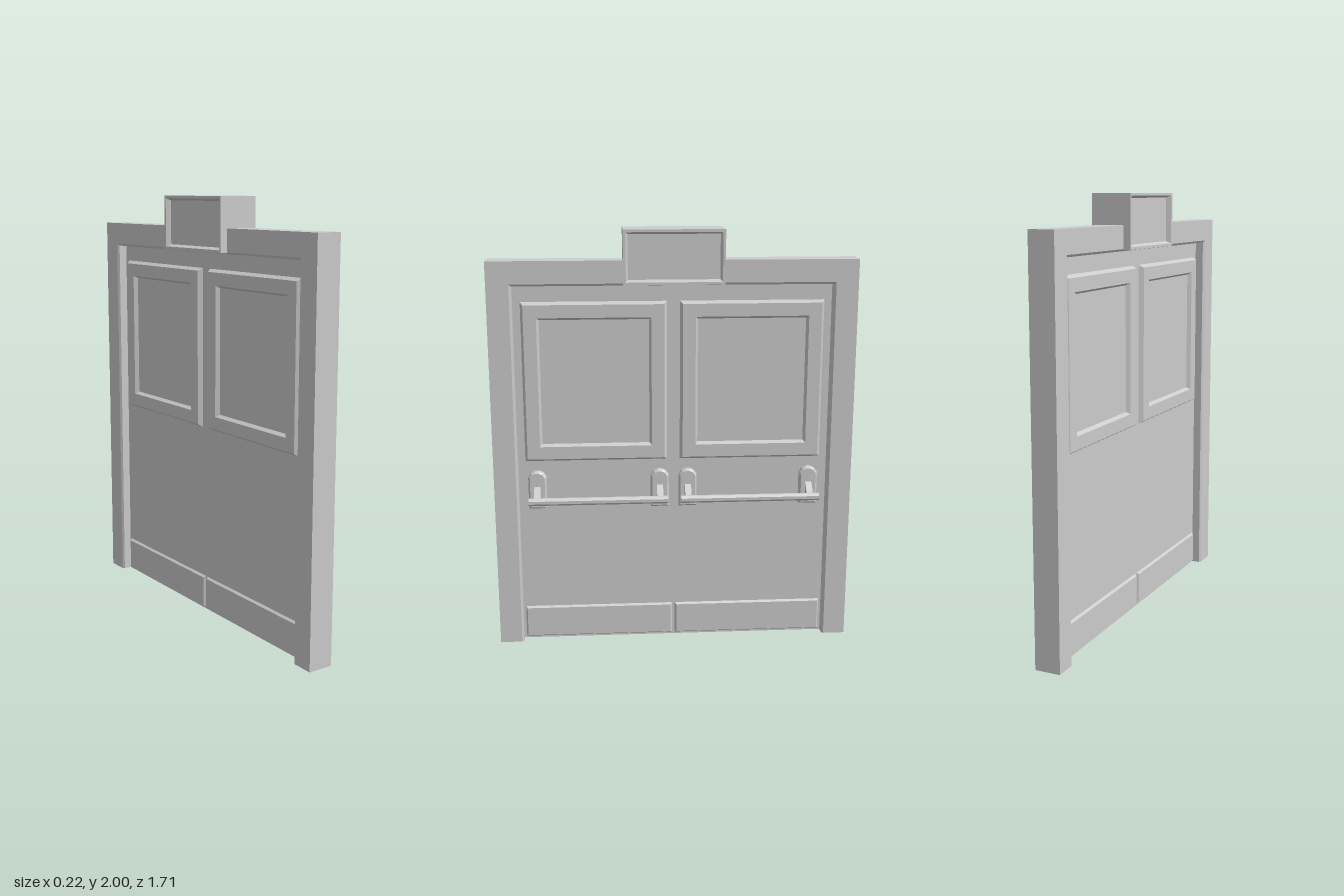
import * as THREE from 'three';

const material = new THREE.MeshStandardMaterial({ color: 0xcccccc, flatShading: true, side: THREE.DoubleSide });
const CENTRE_X = -0.017; // middle of the wall thickness

function mesh(name, geometry) {
  const m = new THREE.Mesh(geometry, material);
  m.name = name;
  return m;
}

// Lofts nested rectangles facing +x. Each ring is [inset, x].
// An open loft keeps its foot on y0 and has no lower side or cap.
function loftRects({ z0, z1, y0, y1 }, rings, open = false) {
  const corners = rings.map(([i, x]) => {
    const low = open ? y0 : y0 + i;
    return [[x, low, z1 - i], [x, low, z0 + i], [x, y1 - i, z0 + i], [x, y1 - i, z1 - i]];
  });
  const pos = [];
  const quad = (a, b, c, d) => pos.push(...a, ...b, ...c, ...a, ...c, ...d);
  for (let r = 0; r + 1 < corners.length; r++) {
    const a = corners[r], b = corners[r + 1];
    for (let k = open ? 1 : 0; k < 4; k++) {
      const n = (k + 1) % 4;
      quad(a[k], a[n], b[n], b[k]);
    }
  }
  if (!open) quad(...corners[corners.length - 1]);
  const g = new THREE.BufferGeometry();
  g.setAttribute('position', new THREE.Float32BufferAttribute(pos, 3));
  g.computeVertexNormals();
  return g;
}

// Everything that appears on both faces of the doorway
function createFace() {
  const face = new THREE.Group();
  face.add(mesh('doorFrame', loftRects({ z0: -0.853, z1: 0.853, y0: 0, y1: 1.86 },
    [[0, 0], [0, 0.06], [0.104, 0.06], [0.114, 0.052], [0.114, 0]], true)));

  // Window surrounds and kick plates, one for each leaf
  for (const s of [-1, 1]) {
    const span = (a, b) => ({ z0: Math.min(s * a, s * b), z1: Math.max(s * a, s * b) });
    face.add(mesh('windowSurround', loftRects({ ...span(0.03, 0.705), y0: 0.912, y1: 1.67 },
      [[0, 0.012], [0.013, 0.034], [0.073, 0.034], [0.084, 0.015]])));
    face.add(mesh('kickPlate', loftRects({ ...span(0.006, 0.728), y0: 0.008, y1: 0.168 },
      [[0, 0.012], [0.008, 0.024]])));
  }

  // Overhead sign box with a recessed panel
  face.add(mesh('signBox', loftRects({ z0: -0.232, z1: 0.232, y0: 1.752, y1: 2 },
    [[0, 0], [0, 0.095], [0.012, 0.095], [0.022, 0.072]])));
  return face;
}

// Bracket plate with chamfered edges and an arched top, plus its sloping arm
function createBracket() {
  const bracket = new THREE.Group();
  bracket.name = 'barBracket';
  const outline = [[-0.043, 0.683], [0.043, 0.683], [0.043, 0.838], [0.028, 0.858],
    [0.01, 0.866], [-0.01, 0.866], [-0.028, 0.858], [-0.043, 0.838]];
  const plate = new THREE.ExtrudeGeometry(
    new THREE.Shape(outline.map(p => new THREE.Vector2(...p))),
    { depth: 0.022, bevelThickness: 0.01, bevelSize: 0.008, bevelOffset: -0.008, bevelSegments: 1 });
  plate.rotateY(Math.PI / 2).translate(0.016, 0, 0);
  bracket.add(mesh('bracketPlate', plate));

  const side = [[0.04, 0.742], [0.1, 0.728], [0.1, 0.75], [0.04, 0.8]];
  const arm = new THREE.ExtrudeGeometry(
    new THREE.Shape(side.map(p => new THREE.Vector2(...p))), { depth: 0.03, bevelEnabled: false });
  arm.translate(0, 0, -0.015);
  bracket.add(mesh('bracketArm', arm));
  return bracket;
}

export function createModel() {
  const model = new THREE.Group();
  model.name = 'doubleDoor';
  const body = new THREE.Group();
  body.name = 'doorway';
  body.position.x = CENTRE_X;
  model.add(body);

  // Door slab
  const slab = mesh('doorSlab', new THREE.BoxGeometry(0.025, 1.75, 1.48));
  slab.position.y = 0.875;
  body.add(slab);

  // Two matching faces
  const right = createFace(), back = createFace();
  right.name = 'leftFace';
  back.name = 'rightFace';
  back.rotation.y = Math.PI;
  body.add(right, back);

  for (const s of [-1, 1]) {
    // Underside of the jamb
    const foot = mesh('jambFoot', new THREE.PlaneGeometry(0.12, 0.112).rotateX(Math.PI / 2));
    foot.position.z = s * 0.797;
    body.add(foot);

    // Push bar on the handle side
    const bar = new THREE.CylinderGeometry(0.018, 0.018, 0.66, 8);
    bar.rotateY(Math.PI / 8).rotateX(Math.PI / 2);
    const pushBar = mesh('pushBar', bar);
    pushBar.position.set(0.11, 0.738, s * 0.36);
    body.add(pushBar);
    for (const z of [0.067, 0.65]) {
      const bracket = createBracket();
      bracket.position.z = s * z;
      body.add(bracket);
    }
  }
  return model;
}
